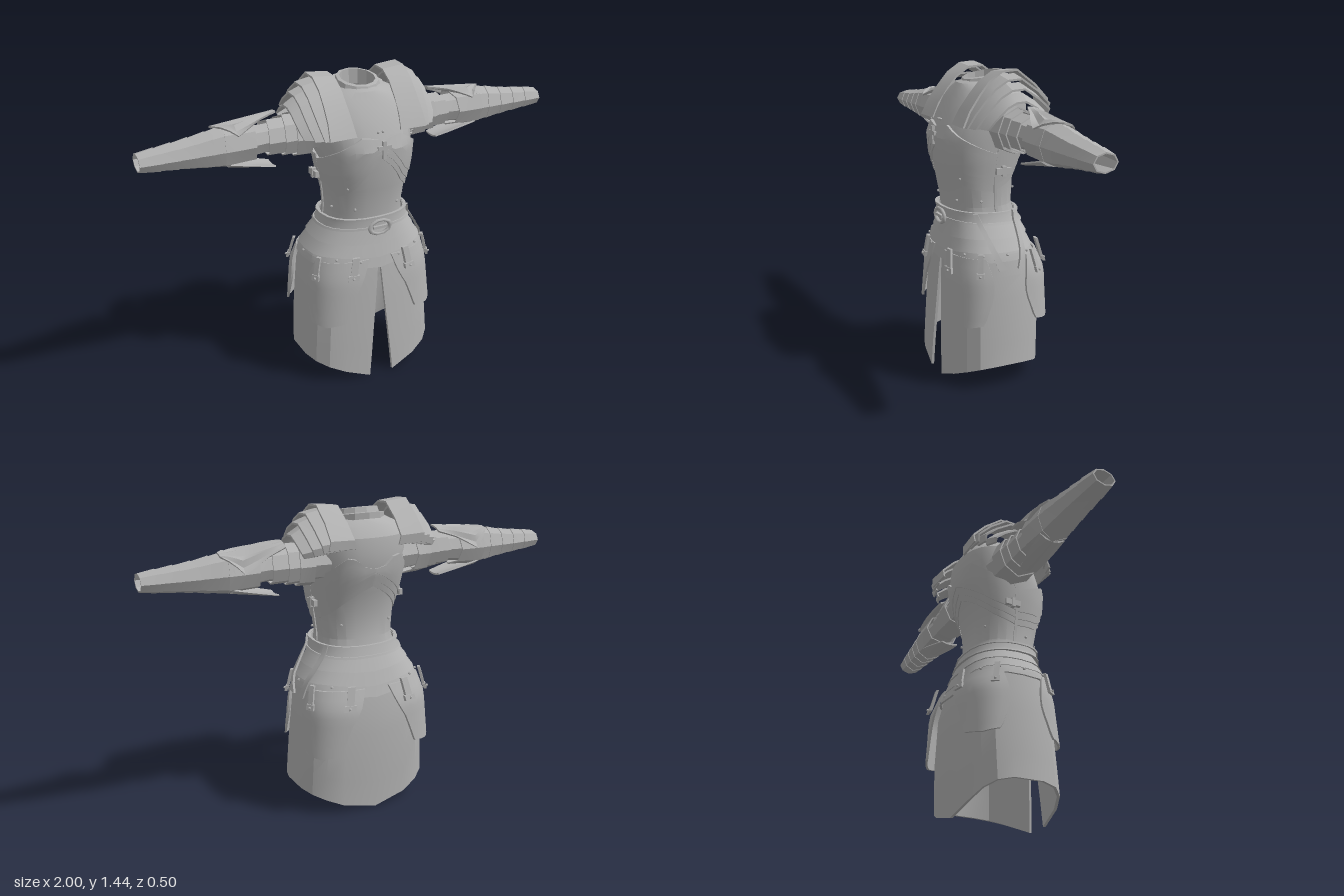
import * as THREE from 'three';
import { toCreasedNormals } from 'three/addons/utils/BufferGeometryUtils.js';

const steel = new THREE.MeshStandardMaterial({ color: 0xb0b0b0, side: THREE.DoubleSide });
steel.name = 'steel grey';

// Linear lookup in a table of rows [key, ...values]
function at(table, t) {
  let i = 1;
  while (i < table.length - 1 && table[i][0] < t) i++;
  const a = table[i - 1], b = table[i];
  const k = THREE.MathUtils.clamp((t - a[0]) / (b[0] - a[0]), 0, 1);
  return a.slice(1).map((v, j) => v + (b[j + 1] - v) * k);
}
const mix = THREE.MathUtils.lerp;
const power = (v, p) => Math.sign(v) * Math.abs(v) ** p;

// Body: height, half width, front z, back z, roundness (1 = ellipse)
const BODY = [
  [0, .322, .236, -.188, .65], [.1, .32, .233, -.19, .65], [.3, .309, .222, -.197, .65],
  [.54, .288, .208, -.192, .68], [.64, .27, .198, -.17, .75], [.7, .235, .19, -.155, .8],
  [.77, .192, .185, -.132, .85], [.83, .18, .187, -.115, .85], [.95, .192, .21, -.12, .85],
  [1.05, .207, .228, -.145, .85], [1.14, .217, .235, -.175, .85], [1.23, .222, .2, -.186, .85],
  [1.3, .215, .16, -.178, .85], [1.345, .18, .132, -.15, .9], [1.37, .13, .115, -.125, 1], [1.38, .095, .09, -.1, 1],
];
// Point on the body: angle 0 is front, PI/2 is +x; o pushes outwards
function body(a, y, o = 0) {
  const [w, f, b, p] = at(BODY, y);
  return [(w + o) * power(Math.sin(a), p), y, (f + b) / 2 + ((f - b) / 2 + o) * power(Math.cos(a), p)];
}

// Arm: x, centre y, radius y, centre z, radius z
const ARM = [
  [.18, 1.19, .088, -.02, .1], [.3, 1.19, .076, -.02, .08], [.45, 1.19, .064, -.025, .07],
  [.55, 1.186, .07, -.025, .073], [.63, 1.185, .084, -.025, .078], [.8, 1.182, .056, -.02, .065], [1, 1.18, .034, -.012, .049],
];
function arm(x, a, o = 0) {
  const [cy, ry, cz, rz] = at(ARM, x);
  return [x, cy + (ry + o) * Math.cos(a), cz + (rz + o) * Math.sin(a)];
}

// Surface through rows of points
function loft(rows) {
  const n = rows[0].length, index = [];
  for (let i = 0; i < rows.length - 1; i++) for (let j = 0; j < n - 1; j++) {
    const a = i * n + j, b = a + n;
    index.push(a, b, a + 1, b, b + 1, a + 1);
  }
  const g = new THREE.BufferGeometry();
  g.setAttribute('position', new THREE.Float32BufferAttribute(rows.flat(2), 3));
  g.setIndex(index);
  return toCreasedNormals(g, 0.4);
}
// Plate over f(u, v, offset) with thickness t and closed rims
function plate(f, nu, nv, t) {
  const rows = [];
  for (let i = -1; i <= nu + 1; i++) {
    const u = Math.min(Math.max(i, 0), nu) / nu, outer = i < 0 || i > nu ? 0 : t, row = [];
    for (let j = 0; j <= nv; j++) row.push(f(u, j / nv, outer));
    for (let j = nv; j >= 0; j--) row.push(f(u, j / nv, 0));
    row.push(row[0]);
    rows.push(row);
  }
  return loft(rows);
}

export function createModel() {
  const model = new THREE.Group(), half = new THREE.Group();
  const TAU = Math.PI * 2;
  model.name = 'plateArmour';
  half.name = 'leftHalf';
  const add = (parent, name, geometry, pos = [0, 0, 0]) => {
    const m = new THREE.Mesh(geometry, steel);
    m.name = name;
    m.position.set(...pos);
    parent.add(m);
    return m;
  };
  const stud = (parent, a, y, o) => add(parent, 'stud', new THREE.IcosahedronGeometry(.007, 0), body(a, y, o));
  const around = (n, f) => Array.from({ length: n + 1 }, (_, j) => f(j / n * TAU));

  // Torso, and a collar that slopes down to the front
  const torsoRows = BODY.filter(r => r[0] > .75).map(r => r[0]);
  add(model, 'torso', loft(torsoRows.map(y => around(24, a => body(a, y)))));
  const COLLAR = [[.125, 1.35], [.125, 1.378], [.103, 1.382], [.095, 1.405], [.08, 1.408], [.078, 1.34]];
  add(model, 'collar', loft(COLLAR.map(([r, y]) => around(12, a =>
    [r * Math.sin(a), y - .2 * r * Math.cos(a), r * Math.cos(a) - .003]))));

  // Skirt with a front slit and a hem that drops at front and back
  add(model, 'skirt', plate((u, v, o) => {
    const gap = Math.asin((mix(.004, .06, v) / .32) ** 1.54);
    const a = mix(gap, TAU - gap, u), x = .32 * Math.abs(power(Math.sin(a), .65));
    return body(a, mix(.64, .008 + .112 * Math.max(0, (x - .07) / .25), v), o - .005);
  }, 18, 5, .012));

  // Fauld lames, lower belt and waist belt
  const dip = a => Math.max(0, 1 - Math.abs(Math.sin(a)) * 1.6);
  const band = (name, y0, y1, o0, o1, drop, t = .007, tilt = 0) => add(model, name, plate((u, v, o) => {
    const a = u * TAU, p = body(a, mix(y0, y1, v) - drop * dip(a), mix(o0, o1, v) + o);
    p[1] += tilt * Math.cos(a);
    return p;
  }, 24, 2, t));
  band('fauldLame', .77, .7, .002, .012, .015);
  band('fauldLame', .715, .645, .003, .012, .025);
  band('lowerBelt', .665, .605, .004, .01, .035, .01);
  band('waistBelt', .805, .762, .008, .009, 0, .01, .008);
  band('beltEdge', .81, .8, .012, .012, 0, .013, .008);
  band('beltEdge', .765, .755, .012, .012, 0, .013, .008);
  for (let i = 0; i < 14; i++) {
    const a = (i + .5) / 14 * TAU;
    stud(model, a, .635 - .035 * dip(a), .02);
  }
  const buckle = add(model, 'buckle', new THREE.TorusGeometry(.042, .009, 5, 10), [0, .77, .214]);
  buckle.scale.set(1.25, .8, 1);
  add(model, 'bucklePin', new THREE.BoxGeometry(.07, .012, .012), [0, .77, .215]);

  // Chest clasp
  add(model, 'chestClasp', new THREE.BoxGeometry(.018, .08, .014), [0, 1.145, .243]);
  add(model, 'chestClasp', new THREE.BoxGeometry(.065, .018, .014), [0, 1.155, .243]);

  // Slanted hanger straps on the left hip
  for (const [a0, a1] of [[1.1, 1.5], [2.1, 1.72]]) {
    add(model, 'hangerStrap', plate((u, v, o) =>
      body(mix(a0, a1, u) + (v - .5) * .12, mix(.81, .57, u), .022 + o), 6, 1, .01));
  }

  // Overlapping chest and back plates, swept down to the sides
  const LOW = [[0, 1.1], [.25, 1.04], [.55, .965], [1, .92], [1.57, .905], [2.2, .95], [3.1416, 1.08]];
  const TOP = [[0, 1.18], [.3, 1.205], [.6, 1.17], [1.57, 1.08], [2.3, 1.17], [2.7, 1.23], [3.1416, 1.14]];
  [[0, .001], [.03, .005], [.065, .009]].forEach(([lift, o0]) => add(half, 'cuirassPlate', plate((u, v, o) => {
    const a = u * Math.PI, low = at(LOW, a)[0] + lift;
    return body(a, mix(Math.max(at(TOP, a)[0], low + .02), low, v), o0 + o);
  }, 18, 4, .005)));
  for (const [a, y] of [[.03, 1.215], [.75, .965], [.55, .86], [1.3, .86], [2.5, .9]]) stud(half, a, y, .004);
  add(half, 'sideSeam', plate((u, v, o) => body(1.62 + (v - .5) * .06, mix(1.1, .81, u), .008 + o), 8, 1, .006));
  add(half, 'sideClasp', new THREE.BoxGeometry(.018, .028, .075), [.222, 1, 0]);
  add(half, 'sideClaspPin', new THREE.BoxGeometry(.02, .045, .018), [.224, 1, 0]);

  // Shoulder lames: one arched profile [step, z, y], moved out in x and scaled down
  const ARCH = [[0, .195, 1.205], [1, .162, 1.27], [2, .115, 1.335], [3, .07, 1.39], [4, .01, 1.43],
    [5, -.06, 1.435], [6, -.145, 1.37], [7, -.205, 1.305], [8, -.2, 1.265]];
  // For both edges: x, scale in y, scale in z
  const LAMES = [
    [[.12, .96, .98], [.225, 1, 1]],
    [[.195, .91, .97], [.275, .85, .95]],
    [[.25, .77, .9], [.31, .68, .84]],
    [[.285, .6, .75], [.34, .47, .64]],
  ];
  LAMES.forEach(([p, q], i) => add(half, 'shoulderLame', plate((u, v, o) => {
    const [x, sy, sz] = p.map((s, k) => mix(s, q[k], v));
    const [z, y] = at(ARCH, u * 8), end = Math.abs(u * 2 - 1) ** 3;
    const dz = z + .02, dy = y - 1.2, r = Math.hypot(dz, dy);
    const shift = i ? -.02 * end : mix(-.012, .012, v) * end;
    return [x + shift, 1.2 + dy * sy + dy / r * o, -.02 + dz * sz + dz / r * o];
  }, 8, 2, .009)));

  // Sleeve with arm lames
  add(half, 'sleeve', loft(ARM.map(([x]) => around(8, a => arm(x, a)))));
  const armLame = (name, x0, x1, o0, o1, chevron) => add(half, name, plate((u, v, o) => {
    const a = u * TAU, x = mix(x0, x1, v) + chevron * (Math.abs(Math.sin(a)) - .5) * (x1 > .95 ? 1 - v : 1);
    return arm(x, a, mix(o0, o1, v) + o);
  }, 8, 2, .006));
  armLame('upperArmLame', .25, .32, .018, .022, .02);
  armLame('upperArmLame', .3, .37, .008, .016, .02);
  armLame('upperArmLame', .35, .44, .003, .01, .02);
  armLame('elbowCuff', .5, .635, .014, .004, .02);
  for (let i = 0; i < 5; i++) {
    const x = .62 + i * .075;
    armLame('forearmLame', x, Math.min(x + .085, 1), .004, 0, i ? -.025 : 0);
  }

  // Fluted kite-shaped fan over the elbow, and the flap below it
  const FAN = [[0, .3], [.3, .6], [.7, 1.2], [1, .2]];
  add(half, 'elbowFan', plate((u, v, o) => {
    const x = mix(.385, .67, u), a = -.3 + (v * 2 - 1) * at(FAN, u)[0];
    const flute = Math.round(v * 8) % 2 ? -.014 * Math.sin(u * Math.PI) : 0;
    const r = mix(.11, .084, u) + flute + o;
    return [x, 1.185 + r * Math.cos(a), -.025 + r * 1.08 * Math.sin(a)];
  }, 10, 8, .008));
  add(half, 'elbowFlap', plate((u, v, o) => {
    const a = Math.PI + (v * 2 - 1) * mix(.35, .75, u), r = mix(.118, .085, u) + o;
    return [mix(.41, .62, u), 1.185 + r * Math.cos(a), -.025 + r * Math.sin(a)];
  }, 3, 4, .008));

  // Corner tassets with their straps: front and back on this side
  const INNER = [[0, .11], [.3, .16], [.5, .26], [.85, .38], [1, .42]];
  const OUTER = [[0, 1.2], [.3, 1.36], [.55, 1.36], [.9, 1.2], [1, 1.15]];
  for (const [front, reach] of [[true, .02], [false, .042]]) {
    const turn = a => front ? a : Math.PI - a;
    const lift = a => mix(.014, reach, Math.cos(a));
    add(half, front ? 'frontTasset' : 'backTasset', plate((u, v, o) => {
      const a = mix(at(INNER, v)[0], at(OUTER, v)[0], u);
      const y = mix(.62, .308, v) + (v > .9 ? .015 * Math.abs(u * 2 - 1) : 0);
      return body(turn(a), y, lift(a) * mix(.6, 1, Math.min(1, v * 3)) + o);
    }, 8, 8, .009));
    for (const a of [.32, 1.08]) {
      add(half, 'tassetStrap', plate((u, v, o) =>
        body(turn(a + (v - .5) * .11), mix(.645, .545, u), lift(a) + .008 + o), 3, 1, .012));
      add(half, 'strapEnd', plate((u, v, o) =>
        body(turn(a + (v - .5) * .17), mix(.565, .54, u), lift(a) + .012 + o), 1, 1, .012));
      stud(half, turn(a), .552, lift(a) + .026);
    }
  }

  // Mirror to the other side
  const other = half.clone();
  other.name = 'rightHalf';
  other.scale.x = -1;
  model.add(half, other);
  return model;
}
